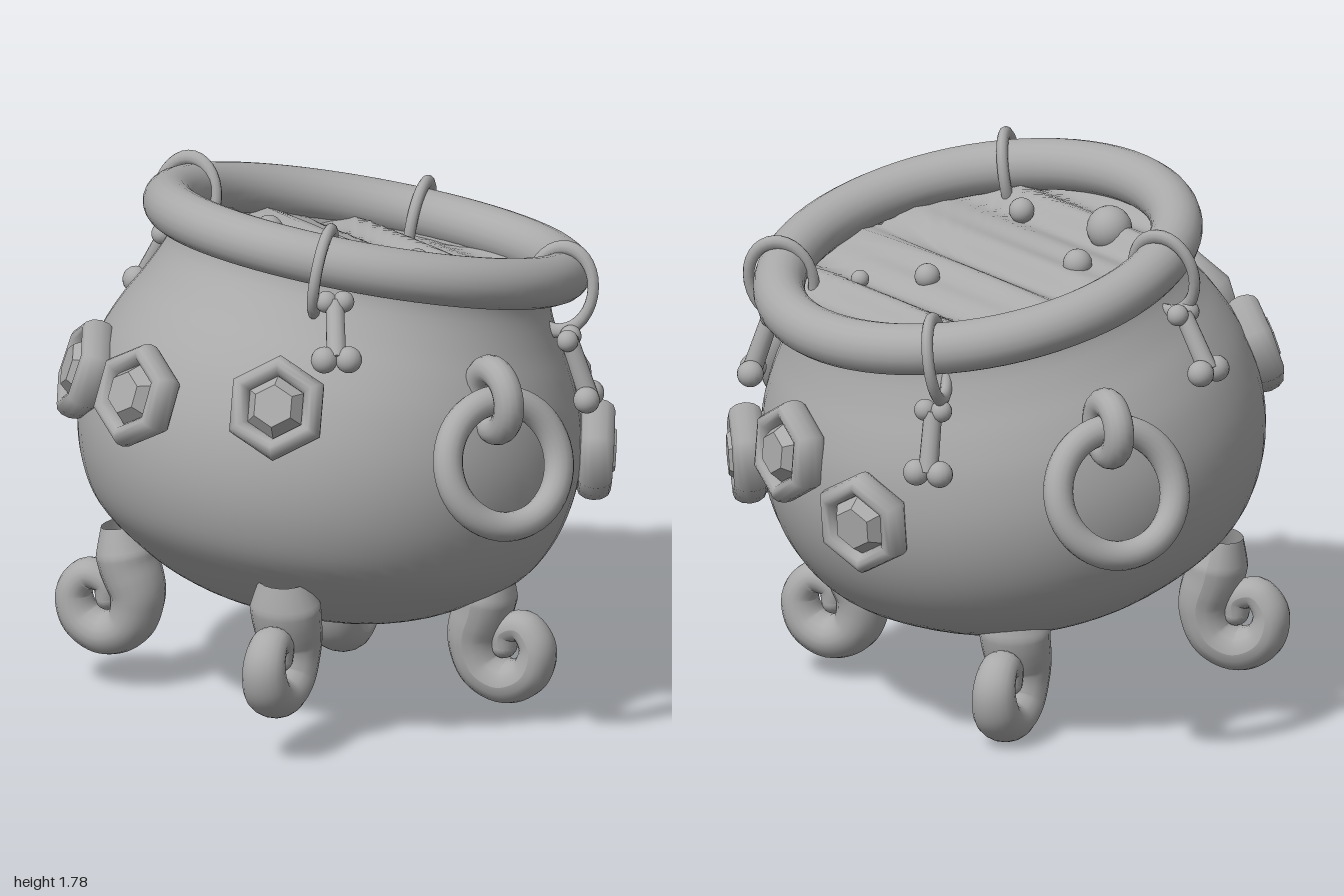
import * as THREE from 'three';

const iron = new THREE.MeshStandardMaterial({ color: 0xaaaaaa, side: THREE.DoubleSide });
iron.name = 'grey';

function add(parent, name, geometry, x = 0, y = 0, z = 0) {
  const m = new THREE.Mesh(geometry, iron);
  m.name = name;
  m.position.set(x, y, z);
  parent.add(m);
  return m;
}

function group(parent, name, x = 0, y = 0, z = 0) {
  const g = new THREE.Group();
  g.name = name;
  g.position.set(x, y, z);
  parent.add(g);
  return g;
}

const v2 = (list) => list.map(([x, y]) => new THREE.Vector2(x, y));
const CENTRE = new THREE.Vector3(-0.02, 0.9, 0);

// Turns an object so that its +z points straight out of the round body
function faceOutward(o) {
  o.lookAt(o.position.clone().multiplyScalar(2).sub(CENTRE));
}

// Tube whose radius follows a list of values along the path
function taperedTube(points, radii, segments, sides) {
  const curve = new THREE.CatmullRomCurve3(points.map(([x, y]) => new THREE.Vector3(x, y, 0)));
  const geo = new THREE.TubeGeometry(curve, segments, 1, sides);
  const pos = geo.attributes.position, p = new THREE.Vector3();
  for (let i = 0; i <= segments; i++) {
    const c = curve.getPointAt(i / segments);
    const f = (i / segments) * (radii.length - 1), k = Math.min(Math.floor(f), radii.length - 2);
    const r = THREE.MathUtils.lerp(radii[k], radii[k + 1], f - k);
    for (let j = 0; j <= sides; j++) {
      const n = i * (sides + 1) + j;
      p.fromBufferAttribute(pos, n).sub(c).multiplyScalar(r).add(c);
      pos.setXYZ(n, p.x, p.y, p.z);
    }
  }
  geo.computeVertexNormals();
  return { geo, end: curve.getPointAt(1) };
}

// Pot body, rim, brew and bubbles, all in the tilted frame of the rim
function buildPot(pot) {
  const profile = new THREE.SplineCurve(v2([
    [0, -1.25], [0.24, -1.24], [0.42, -1.19], [0.57, -1.11], [0.7, -1.01], [0.775, -0.89], [0.815, -0.75],
    [0.82, -0.6], [0.79, -0.45], [0.74, -0.33], [0.68, -0.22], [0.63, -0.1], [0.64, 0]])).getPoints(48);
  profile[0].x = 0;
  const body = add(pot, 'body', new THREE.LatheGeometry(profile, 64), -0.025, 0, 0.02);
  body.scale.z = 1.02;
  const rim = add(pot, 'rim', new THREE.TorusGeometry(0.66, 0.085, 20, 72));
  rim.rotation.x = Math.PI / 2;

  // Brew surface with folds running front to back
  const brew = new THREE.RingGeometry(0.001, 0.64, 72, 32);
  brew.rotateX(-Math.PI / 2);
  const p = brew.attributes.position;
  for (let i = 0; i < p.count; i++) {
    const x = p.getX(i) + 0.06 * p.getZ(i);
    p.setY(i, -0.065 + 0.016 * Math.sin(24 * x) + 0.012 * Math.sin(41 * x + 1));
  }
  brew.computeVertexNormals();
  add(pot, 'brew', brew);
  for (const [x, z, r] of [[-0.43, -0.16, 0.075], [-0.2, -0.26, 0.048], [-0.37, 0.21, 0.042], [0.12, 0.13, 0.042], [0.25, 0.32, 0.03]])
    add(pot, 'bubble', new THREE.SphereGeometry(r, 20, 14), x, -0.05, z);

  // Thin loops around the rim that carry the bones
  for (const [x, z] of [[-0.27, -0.6], [0.52, -0.38], [0.42, 0.55], [-0.51, 0.42]]) {
    const a = Math.atan2(z, x);
    const g = group(pot, 'boneLoop', 0.67 * Math.cos(a), -0.035, 0.67 * Math.sin(a));
    g.rotation.y = -a;
    add(g, 'loop', new THREE.TorusGeometry(0.108, 0.019, 10, 32)).scale.y = 1.28;
  }
}

// Hanging ring held by a smaller lug ring
function buildHandle(root, x, y, z, yaw, lugRadius) {
  const g = group(root, 'handle', x, y, z);
  g.rotation.y = yaw;
  add(g, 'handleLug', new THREE.TorusGeometry(lugRadius, 0.05, 14, 32)).rotation.y = Math.PI / 2;
  const ring = add(g, 'handleRing', new THREE.TorusGeometry(0.208, 0.049, 16, 48), 0, -0.2, 0.065);
  ring.rotation.x = -0.32;
}

// Six-sided jewel in a rounded frame
function buildGem(root, x, y, z) {
  const g = group(root, 'gem', x, y, z);
  faceOutward(g);
  const frame = new THREE.TorusGeometry(0.137, 0.037, 12, 6);
  frame.rotateZ(Math.PI / 6);
  add(g, 'gemFrame', frame).scale.z = 1.5;
  const cut = new THREE.CylinderGeometry(0.07, 0.112, 0.06, 6).toNonIndexed();
  cut.rotateX(Math.PI / 2);
  cut.computeVertexNormals();
  add(g, 'gemStone', cut, 0, 0, 0.035);
  const back = new THREE.CylinderGeometry(0.14, 0.14, 0.07, 6).toNonIndexed();
  back.rotateX(Math.PI / 2);
  back.computeVertexNormals();
  add(g, 'gemBacking', back, 0, 0, -0.03);
}

function buildBone(root, x, y, z) {
  const g = group(root, 'bone', x, y, z);
  faceOutward(g);
  add(g, 'boneShaft', new THREE.CylinderGeometry(0.03, 0.033, 0.2, 14));
  for (const s of [-1, 1])
    for (const t of [-1, 1])
      add(g, 'boneKnob', new THREE.SphereGeometry(s < 0 ? 0.044 : 0.036, 16, 12), t * (s < 0 ? 0.04 : 0.028), s * 0.103, 0);
}

// Foot that sweeps down and curls outward into a spiral
function buildLeg(root, x, y, z, dx, dz) {
  const g = group(root, 'leg', x, y, z);
  g.rotation.y = Math.atan2(-dz, dx);
  const { geo, end } = taperedTube(
    [[-0.06, 0.27], [-0.08, 0.15], [-0.115, 0.03], [-0.085, -0.07], [0, -0.11], [0.085, -0.07], [0.11, 0.02], [0.06, 0.085], [-0.005, 0.06], [-0.01, 0.01]],
    [0.07, 0.1, 0.095, 0.085, 0.078, 0.072, 0.065, 0.058, 0.05, 0.042], 64, 18);
  add(g, 'legCurl', geo).scale.z = 1.2;
  add(g, 'legTip', new THREE.SphereGeometry(0.042, 16, 12), end.x, end.y, 0).scale.z = 1.2;
}

export function createModel() {
  const root = new THREE.Group();
  root.name = 'cauldron';
  const pot = group(root, 'pot', 0.16, 1.545, -0.02);
  pot.rotation.z = -0.225;
  buildPot(pot);

  buildHandle(root, 0.025, 1.22, 0.83, -0.12, 0.1);
  buildHandle(root, 0.29, 1.17, -0.82, Math.PI - 0.28, 0.085);

  for (const p of [[-0.63, 1.24, 0.52], [-0.83, 1.2, 0.03], [-0.71, 1.16, -0.4], [0.68, 0.85, 0.53], [0.82, 0.97, 0.16], [0.81, 0.81, -0.2]])
    buildGem(root, ...p);

  for (const p of [[-0.41, 1.47, 0.55], [0.54, 1.18, 0.62], [0.72, 1.12, -0.43], [-0.15, 1.36, -0.75]])
    buildBone(root, ...p);

  for (const p of [[0.29, 0.25, 0.56, 0.45, 0.9], [-0.56, 0.33, 0.43, -0.85, 0.5], [0.34, 0.19, -0.37, 0.85, -0.45], [-0.52, 0.3, -0.54, -0.5, -0.85]])
    buildLeg(root, ...p);
  return root;
}
